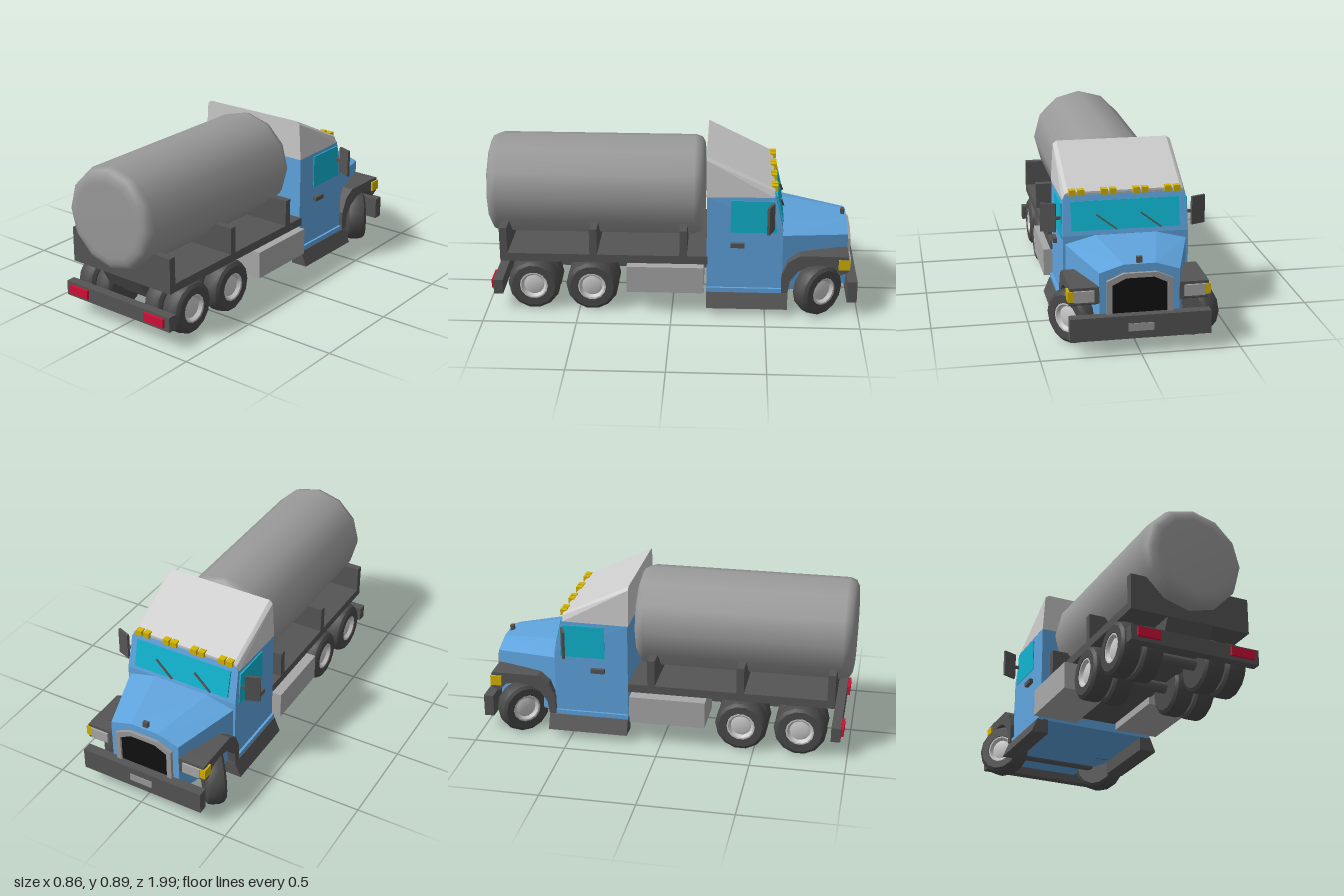
import * as THREE from 'three';
import { toCreasedNormals } from 'three/addons/utils/BufferGeometryUtils.js';
import { ConvexGeometry } from 'three/addons/geometries/ConvexGeometry.js';

const mat = (color) => new THREE.MeshStandardMaterial({ color });

export function createModel() {
  const model = new THREE.Group();
  const M = {
    blue: mat(0x5fa4de), light: mat(0xcccccc), steel: mat(0x999999), dark: mat(0x555555),
    tyre: mat(0x4a4a4a), black: mat(0x111111), glass: mat(0x10b4d0), yellow: mat(0xd4b400), red: mat(0xd01035),
    panel: mat(0xa8a8a8),
  };

  const add = (name, geometry, material, parent = model) => {
    const mesh = new THREE.Mesh(geometry, material);
    mesh.name = name;
    parent.add(mesh);
    return mesh;
  };
  // Box given by its min and max on each axis
  const box = (name, material, [x0, x1], [y0, y1], [z0, z1], parent = model) => {
    const mesh = add(name, new THREE.BoxGeometry(x1 - x0, y1 - y0, z1 - z0), material, parent);
    mesh.position.set((x0 + x1) / 2, (y0 + y1) / 2, (z0 + z1) / 2);
    return mesh;
  };
  // Side profile of [z, y] points, extruded from x0 to x1
  const sideExtrude = (name, material, points, x0, x1) => {
    const shape = new THREE.Shape(points.map(([z, y]) => new THREE.Vector2(-z, y)));
    const g = new THREE.ExtrudeGeometry(shape, { depth: x1 - x0, bevelEnabled: false });
    g.rotateY(Math.PI / 2).translate(x0, 0, 0);
    return add(name, g, material);
  };
  // Convex hull of [x, y, z] points mirrored in x
  const mirroredHull = (name, material, points) => add(name, new ConvexGeometry(
    points.flatMap(([x, y, z]) => [new THREE.Vector3(x, y, z), new THREE.Vector3(-x, y, z)])), material);
  // Extrusion span on either side of the centre line
  const sideSpan = (s, a, b) => (s > 0 ? [a, b] : [-b, -a]);

  // Tank with rounded ends
  const tankProfile = [[0, -0.585], [0.2, -0.585], [0.235, -0.58], [0.262, -0.565], [0.275, -0.53],
    [0.275, 0.53], [0.262, 0.565], [0.235, 0.58], [0.2, 0.585], [0, 0.585]];
  const tank = new THREE.LatheGeometry(tankProfile.map(([r, y]) => new THREE.Vector2(r, y)), 12);
  tank.rotateX(Math.PI / 2).translate(0, 0.615, 0.415);
  add('tank', tank, M.steel);

  // Bed, frame and tank cradles
  box('bed', M.dark, [-0.32, 0.335], [0.285, 0.33], [-0.19, 0.92]);
  sideExtrude('chassisFrame', M.dark,
    [[-0.2, 0.29], [0.92, 0.29], [0.87, 0.2], [0.82, 0.17], [-0.2, 0.17]], -0.12, 0.13);
  for (const z of [-0.06, 0.42, 0.9]) {
    box('tankCradle', M.dark, [-0.32, 0.335], [0.32, 0.475], [z - 0.02, z + 0.02]);
  }

  // Rear bumper and tail lights
  box('rearBumper', M.dark, [-0.34, 0.36], [0.1, 0.18], [0.91, 0.96]);
  box('tailLight', M.red, [-0.31, -0.185], [0.12, 0.167], [0.95, 0.975]);
  box('tailLight', M.red, [0.2, 0.33], [0.12, 0.167], [0.95, 0.975]);

  // Cab body
  mirroredHull('cab', M.blue, [
    [0.325, 0.12, -0.185], [0.325, 0.67, -0.185], [0.325, 0.12, -0.59],
    [0.325, 0.49, -0.587], [0.318, 0.67, -0.545], [0.305, 0.69, -0.54]]);
  // Roof fairing rising to the rear
  mirroredHull('roofFairing', M.light, [
    [0.327, 0.668, -0.18], [0.315, 0.868, -0.18], [0.295, 0.884, -0.18],
    [0.32, 0.668, -0.535], [0.307, 0.698, -0.54], [0.29, 0.708, -0.54]]);
  // Hood tapering to the grille
  mirroredHull('hood', M.blue, [
    [0.315, 0.13, -0.58], [0.315, 0.45, -0.58], [0.16, 0.49, -0.58],
    [0.2, 0.13, -0.94], [0.2, 0.415, -0.94], [0.08, 0.453, -0.94]]);
  box('hoodOrnament', M.dark, [-0.014, 0.014], [0.445, 0.485], [-0.93, -0.91]);

  // Grille with gabled frame
  const gable = (w, y0, y1, y2) => [[-w, y0], [w, y0], [w, y1], [w * 0.5, y2], [-w * 0.5, y2], [-w, y1]]
    .map(([x, y]) => new THREE.Vector2(x, y));
  const plate = (name, shape, material, z, depth) => add(name,
    new THREE.ExtrudeGeometry(shape, { depth, bevelEnabled: false }).translate(0, 0, z), material);
  const frame = new THREE.Shape(gable(0.165, 0.16, 0.375, 0.412));
  frame.holes.push(new THREE.Path(gable(0.138, 0.18, 0.355, 0.388)));
  plate('grilleFrame', frame, M.steel, -0.958, 0.03);
  plate('grille', new THREE.Shape(gable(0.14, 0.175, 0.357, 0.39)), M.black, -0.946, 0.01);

  // Front bumper and plate
  box('frontBumper', M.dark, [-0.352, 0.352], [0.085, 0.205], [-0.99, -0.937]);
  box('bumperPlate', M.steel, [-0.065, 0.065], [0.125, 0.165], [-0.994, -0.985]);

  // Windshield with wipers
  const windshield = new THREE.Group();
  windshield.name = 'windshield';
  windshield.position.set(0, 0.588, -0.568);
  windshield.rotation.x = 0.23;
  model.add(windshield);
  box('windshieldGlass', M.glass, [-0.28, 0.28], [-0.075, 0.075], [-0.006, 0.006], windshield);
  for (const x of [-0.13, 0.1]) {
    const wiper = box('wiper', M.dark, [x - 0.065, x + 0.065], [-0.039, -0.031], [-0.015, -0.006], windshield);
    wiper.rotation.z = 0.65;
  }

  // Roof marker lights in pairs
  for (const x of [-0.27, -0.225, -0.105, -0.06, 0.06, 0.105, 0.225, 0.27]) {
    box('markerLight', M.yellow, [x - 0.017, x + 0.017], [0.69, 0.721], [-0.556, -0.522]);
  }

  // Parts mirrored on both sides
  for (const s of [1, -1]) {
    sideExtrude('sideWindow', M.glass,
      [[-0.31, 0.47], [-0.31, 0.65], [-0.535, 0.65], [-0.555, 0.47]], ...sideSpan(s, 0.31, 0.329));
    box('doorHandle', M.dark, sideSpan(s, 0.32, 0.346), [0.388, 0.412], [-0.385, -0.31]);
    box('doorSill', M.blue, sideSpan(s, 0.3, 0.338), [0.122, 0.15], [-0.6, -0.185]);
    box('sideLocker', M.panel, sideSpan(s, 0.12, 0.37), [0.13, 0.278], [-0.17, 0.24]);

    const mirror = add('mirror', new THREE.BoxGeometry(0.08, 0.15, 0.014), M.dark);
    mirror.position.set(s * 0.39, 0.575, -0.52);
    mirror.rotation.y = -s * 0.37;
    box('mirrorArm', M.dark, sideSpan(s, 0.31, 0.37), [0.565, 0.58], [-0.537, -0.525]);

    // Flared step below the door
    const step = new THREE.Shape([[0.28, 0.125], [0.28, 0.045], [0.375, 0.045], [0.342, 0.125]]
      .map(([x, y]) => new THREE.Vector2(s * x, y)));
    plate('step', step, M.dark, -0.62, 0.435);

    // Fender arch and its lights
    sideExtrude('fender', M.dark, [[-0.585, 0.13], [-0.585, 0.23], [-0.62, 0.31], [-0.68, 0.348],
      [-0.88, 0.348], [-0.94, 0.345], [-0.94, 0.26], [-0.9, 0.24], [-0.86, 0.285], [-0.8, 0.298],
      [-0.73, 0.29], [-0.67, 0.255], [-0.63, 0.2], [-0.62, 0.13]], ...sideSpan(s, 0.2, 0.346));
    box('headlight', M.panel, sideSpan(s, 0.225, 0.325), [0.272, 0.33], [-0.95, -0.93]);
    box('turnSignal', M.yellow, sideSpan(s, 0.32, 0.356), [0.275, 0.33], [-0.945, -0.885]);
  }

  // Wheels: bevelled tyre with a recessed hub, axis along x
  const lathe = (pts) => toCreasedNormals(
    new THREE.LatheGeometry(pts.map(([r, y]) => new THREE.Vector2(r, y)), 14).rotateZ(-Math.PI / 2), 0.6);
  const tyreGeo = lathe([[0, -0.055], [0.118, -0.055], [0.135, -0.043], [0.142, -0.02],
    [0.142, 0.02], [0.135, 0.043], [0.118, 0.055], [0.078, 0.055], [0.07, 0.03]]);
  const hubGeo = lathe([[0.076, 0.02], [0.076, 0.052], [0.068, 0.052], [0.055, 0.035], [0.04, 0.04], [0, 0.04]]);
  const wheel = (name, s, x, y, z, yaw = 0) => {
    const g = new THREE.Group();
    g.name = name;
    add('tyre', tyreGeo, M.tyre, g);
    add('hub', hubGeo, M.light, g);
    g.position.set(s * x, y, z);
    g.rotation.y = yaw + (s < 0 ? Math.PI : 0);
    model.add(g);
  };
  for (const s of [1, -1]) {
    wheel('frontWheel', s, 0.305, 0.144, -0.78, 0.67);
    for (const z of [0.43, 0.745]) {
      wheel('rearOuterWheel', s, 0.289, 0.143, z);
      wheel('rearInnerWheel', s, 0.17, 0.143, z);
    }
  }
  // Axles
  for (const z of [-0.78, 0.43, 0.745]) {
    const axle = add('axle', new THREE.CylinderGeometry(0.03, 0.03, 0.5, 10), M.dark);
    axle.rotation.z = Math.PI / 2;
    axle.position.set(0, 0.143, z);
  }
  return model;
}
